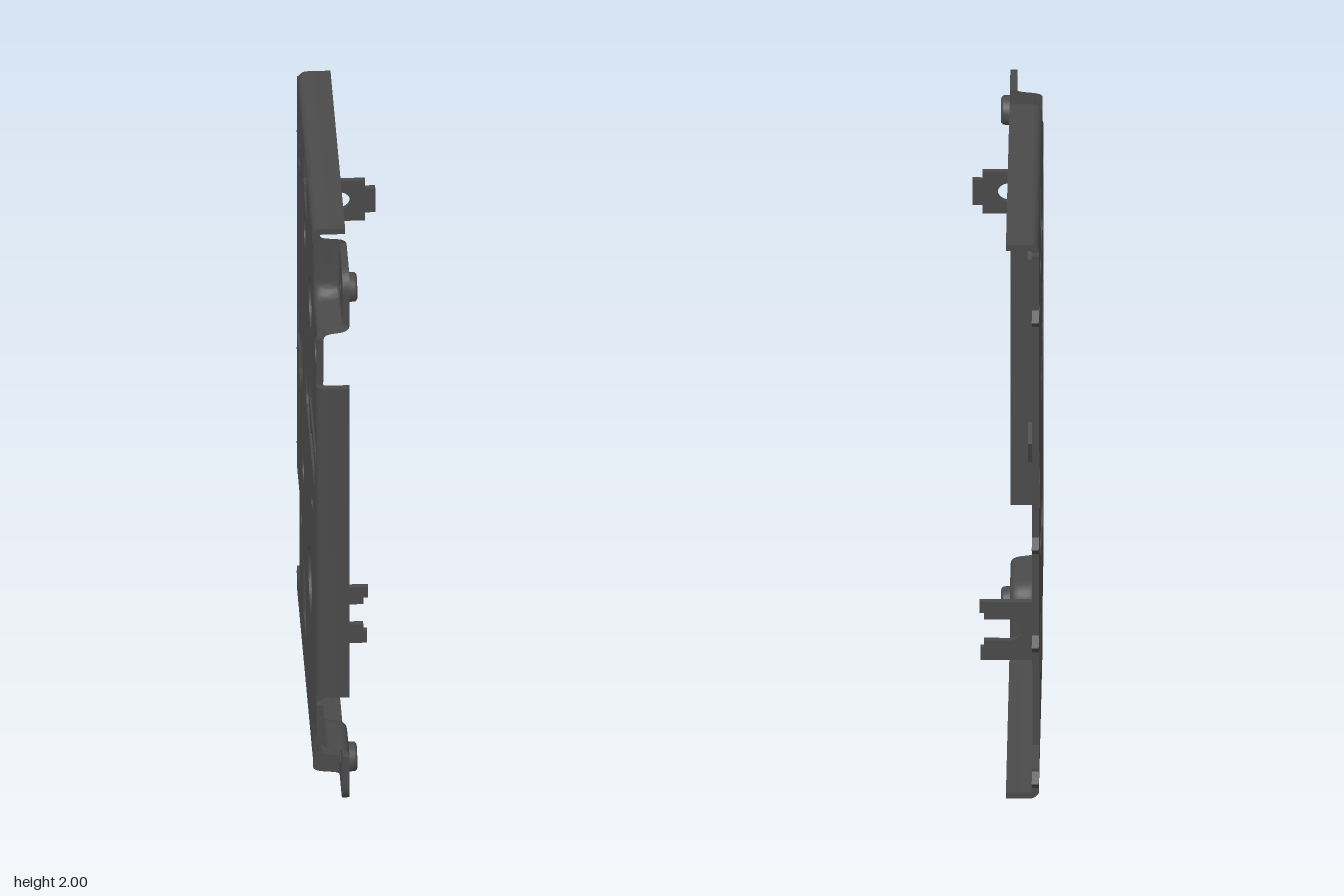
import * as THREE from 'three';
import { toCreasedNormals } from 'three/addons/utils/BufferGeometryUtils.js';
import { ParametricGeometry } from 'three/addons/geometries/ParametricGeometry.js';

const T = 0.022;          // sheet thickness
const BACK = -0.1035;     // outer face of the plate
const FACE = BACK + T;    // inner face of the plate
const R = 0.09;           // plan radius of the corner recess
const BEND = 0.03;        // flange bend radius

const material = new THREE.MeshStandardMaterial({ color: 0x4a4a4a, side: THREE.DoubleSide });

// Outlines are given as [z, y]; shapes use -z so that extrusion runs along +x.
const flip = (pts) => pts.map(([z, y]) => new THREE.Vector2(-z, y));
const rect = (z0, z1, y0, y1) => flip([[z0, y0], [z1, y0], [z1, y1], [z0, y1]]);

function circle(z, y, r) {
  return new THREE.Path().absarc(-z, y, r, 0, Math.PI * 2);
}

function addMesh(parent, name, geometry) {
  const m = new THREE.Mesh(geometry, material);
  m.name = name;
  parent.add(m);
  return m;
}

function extrude(shape, depth) {
  const g = new THREE.ExtrudeGeometry(shape, { depth, bevelEnabled: false, curveSegments: 20 });
  return toCreasedNormals(g, 0.6);
}

const slab = (shape, x) => extrude(shape, T).rotateY(Math.PI / 2).translate(x, 0, 0);

// Boundary of the upper raised corner, offset inward by d
function cornerPath(d, top = 2) {
  const pts = [[0.37 + d, top]];
  for (let i = 0; i <= 10; i++) {
    const a = Math.PI * (1 + i / 20);
    pts.push([0.37 + R + (R - d) * Math.cos(a), 1.765 + R + (R - d) * Math.sin(a)]);
  }
  pts.push([0.605, 1.765 + d]);
  return pts;
}

function makePlate() {
  const tab = (y) => [[-0.575, y + 0.03], [-0.605, y], [-0.575, y - 0.03]];
  const upper = cornerPath(0, 1.97);
  const lower = upper.map(([z, y]) => [z, 2 - y]);
  const shape = new THREE.Shape(flip([
    [-0.575, 1.97], ...tab(1.745), ...tab(0.925), ...tab(0.57),
    [-0.575, 0.49], [-0.425, 0.49], [-0.425, 0.12], [-0.575, 0.12], ...tab(0.08),
    [-0.575, 0.03], ...lower,
    [0.605, 0.38], [0.575, 0.38], [0.575, 1.605], [0.605, 1.605],
    ...upper.reverse(),
  ]));
  // Round holes: z, y, radius
  for (const h of [
    [0.205, 1.635, 0.083], [0.535, 1.685, 0.05], [-0.12, 1.685, 0.047], [-0.46, 1.72, 0.024],
    [0.32, 0.965, 0.024], [-0.205, 0.735, 0.047], [0.208, 0.595, 0.105], [-0.305, 0.48, 0.024],
  ]) shape.holes.push(circle(...h));
  // Rectangular windows and slots
  for (const w of [[0.55, 0.175, 1.26, 1.325], [-0.375, -0.405, 1.825, 1.92], [-0.015, -0.2, 0.2, 0.41]])
    shape.holes.push(new THREE.Path(rect(...w)));
  // Stepped upper window
  shape.holes.push(new THREE.Path(flip([
    [-0.01, 1.805], [-0.165, 1.805], [-0.165, 1.835], [-0.2, 1.835],
    [-0.2, 1.925], [-0.165, 1.925], [-0.165, 1.955], [-0.01, 1.955],
  ])));
  // Cross-shaped window
  shape.holes.push(new THREE.Path(flip([
    [-0.25, 1.09], [-0.285, 1.09], [-0.285, 1.135], [-0.295, 1.145], [-0.345, 1.145], [-0.355, 1.135],
    [-0.355, 1.09], [-0.45, 1.09], [-0.45, 1.135], [-0.46, 1.145], [-0.51, 1.145], [-0.52, 1.135],
    [-0.52, 1.09], [-0.55, 1.09], [-0.55, 1.01], [-0.47, 1.01], [-0.47, 0.935],
    [-0.335, 0.935], [-0.335, 1.01], [-0.25, 1.01],
  ])));
  // Wide slot with rounded lower corners and a pointed stop
  const slot = new THREE.Path();
  slot.moveTo(-0.48, 1.21);
  slot.lineTo(-0.48, 1.15);
  slot.quadraticCurveTo(-0.48, 1.11, -0.44, 1.11);
  slot.lineTo(-0.01, 1.11);
  slot.quadraticCurveTo(0.03, 1.11, 0.03, 1.15);
  for (const [z, y] of [[-0.03, 1.21], [0.165, 1.21], [0.18, 1.22], [0.185, 1.185],
    [0.205, 1.165], [0.235, 1.165], [0.27, 1.2], [0.28, 1.215], [0.3, 1.21]]) slot.lineTo(-z, y);
  slot.closePath();
  shape.holes.push(slot);
  return slab(shape, BACK);
}

// L-shaped edge with a rounded bend, extruded along its length
function makeFlange(length) {
  const s = new THREE.Shape();
  s.moveTo(BACK, -BEND);
  s.absarc(BACK + BEND, -BEND, BEND, Math.PI, Math.PI / 2, true);
  s.lineTo(0, 0);
  s.lineTo(0, -T);
  s.lineTo(BACK + BEND, -T);
  s.absarc(BACK + BEND, -BEND, BEND - T, Math.PI / 2, Math.PI, false);
  s.closePath();
  return extrude(s, length);
}

// Raised corner: S-shaped wall, flat pad and hollow boss
function makeCorner() {
  const corner = new THREE.Group();
  const profile = new THREE.Path();
  profile.moveTo(0, FACE);
  profile.bezierCurveTo(0.035, FACE, 0.005, 0, 0.05, 0);
  profile.lineTo(0.055, -T);
  profile.bezierCurveTo(0.03, -T, 0.05, BACK, 0.01, BACK);
  profile.lineTo(0, BACK);
  profile.closePath();
  const section = profile.getPoints(10);
  const rows = section.map((p) => cornerPath(p.x));
  const n = section.length - 1, k = rows[0].length - 1;
  const wall = new ParametricGeometry((u, v, target) => {
    const i = Math.round(v * n), f = u * k, j = Math.min(Math.floor(f), k - 1);
    const [a, b] = [rows[i][j], rows[i][j + 1]];
    target.set(section[i].x === undefined ? 0 : section[i].y,
      a[1] + (b[1] - a[1]) * (f - j), a[0] + (b[0] - a[0]) * (f - j));
  }, k, n);
  const creased = toCreasedNormals(wall, 0.8);
  addMesh(corner, 'cornerWall', creased);

  const pad = new THREE.Shape(flip(cornerPath(0.05)));
  pad.lineTo(-0.605, 1.93);
  pad.absarc(-0.535, 1.93, 0.07, Math.PI, Math.PI / 2, true);
  pad.closePath();
  pad.holes.push(circle(0.495, 1.887, 0.024));
  addMesh(corner, 'cornerPad', slab(pad, -T));

  const ring = [[0.024, -T], [0.024, 0.02], [0.03, 0.028], [0.04, 0.028], [0.046, 0.022], [0.048, 0]];
  const boss = new THREE.LatheGeometry(ring.map((p) => new THREE.Vector2(...p)), 28);
  boss.rotateZ(-Math.PI / 2).translate(0, 1.887, 0.495);
  addMesh(corner, 'boss', toCreasedNormals(boss, 0.5));
  return corner;
}

const outline = (pts) => new THREE.Shape(pts.map((p) => new THREE.Vector2(...p)));

export function createModel() {
  const model = new THREE.Group();
  model.name = 'mountingPlate';
  const body = new THREE.Group();
  body.name = 'sheetBody';
  body.rotation.y = -0.018;
  model.add(body);

  addMesh(body, 'plate', makePlate());

  // Folded edges
  addMesh(body, 'topFlange', makeFlange(0.888)).position.set(0, 2, -0.555);
  const bottom = addMesh(body, 'bottomFlange', makeFlange(0.888));
  bottom.position.z = -0.555;
  bottom.scale.y = -1;
  const front = addMesh(body, 'frontFlange', makeFlange(1.165));
  front.rotation.x = Math.PI / 2;
  front.position.set(0, 1.575, 0.605);

  // Raised corners, mirrored top to bottom
  for (const side of [1, -1]) {
    const corner = makeCorner();
    corner.name = side > 0 ? 'upperCorner' : 'lowerCorner';
    corner.scale.y = side;
    corner.position.y = side > 0 ? 0 : 2;
    body.add(corner);
  }

  // Bent tab with a round hole
  const upperTab = outline([[BACK, 1.805], [0.08, 1.805], [0.08, 1.835], [0.112, 1.835],
    [0.112, 1.925], [0.08, 1.925], [0.08, 1.955], [BACK, 1.955]]);
  upperTab.holes.push(new THREE.Path().absarc(0, 1.88, 0.033, 0, Math.PI * 2));
  addMesh(body, 'upperTab', extrude(upperTab, 0.018)).position.z = -0.016;

  // Bent tab with an open slot
  const lowerTab = outline([[BACK, 0.2], [0.087, 0.2], [0.087, 0.245], [0.075, 0.245], [0.075, 0.27]]);
  lowerTab.lineTo(-0.005, 0.27);
  lowerTab.absarc(-0.005, 0.308, 0.038, -Math.PI / 2, Math.PI / 2, true);
  for (const p of [[0.075, 0.346], [0.075, 0.37], [0.09, 0.37], [0.09, 0.41], [BACK, 0.41]]) lowerTab.lineTo(...p);
  addMesh(body, 'lowerTab', extrude(lowerTab, 0.018)).position.z = -0.03;

  // Small pressed lugs: z, y, width, height, turn
  for (const [z, y, w, h, turn] of [
    [0.32, 1.76, 0.035, 0.09, -0.35], [0.04, 1.635, 0.09, 0.035, -0.35], [0.185, 0.865, 0.085, 0.1, 0.45],
  ]) {
    const lug = addMesh(body, 'pressedLug', new THREE.BoxGeometry(0.03, h, w));
    lug.position.set(FACE + 0.006, y, z);
    lug.rotation.x = -turn;
  }
  return model;
}
